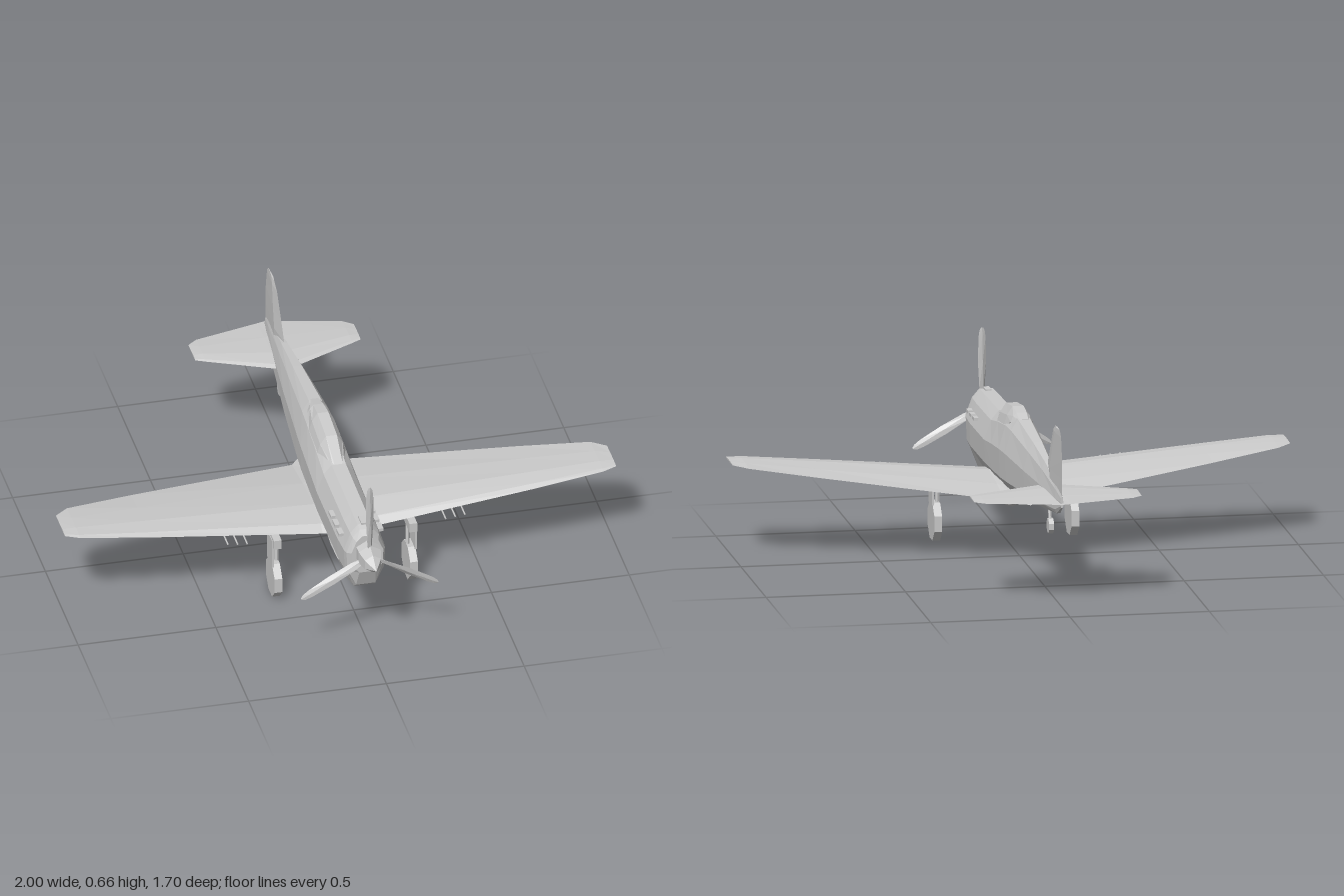
import * as THREE from 'three';

const mat = new THREE.MeshStandardMaterial({ color: 0xcccccc, flatShading: true });

function add(parent, name, geometry, x = 0, y = 0, z = 0) {
  const mesh = new THREE.Mesh(geometry, mat);
  mesh.name = name;
  mesh.position.set(x, y, z);
  parent.add(mesh);
  return mesh;
}

// Skin between rings of points, with both ends closed
function loft(rings) {
  const pos = [];
  const tri = (a, b, c) => pos.push(...a, ...b, ...c);
  const n = rings[0].length;
  const centre = (r) => [0, 1, 2].map((k) => r.reduce((s, p) => s + p[k], 0) / n);
  for (let i = 0; i < rings.length - 1; i++) {
    for (let j = 0; j < n; j++) {
      const k = (j + 1) % n;
      const [a, b, c, d] = [rings[i][j], rings[i][k], rings[i + 1][k], rings[i + 1][j]];
      tri(a, b, c);
      tri(a, c, d);
    }
  }
  const first = rings[0], last = rings[rings.length - 1];
  const c0 = centre(first), c1 = centre(last);
  for (let j = 0; j < n; j++) {
    const k = (j + 1) % n;
    tri(c0, first[k], first[j]);
    tri(c1, last[j], last[k]);
  }
  const g = new THREE.BufferGeometry();
  g.setAttribute('position', new THREE.Float32BufferAttribute(pos, 3));
  g.computeVertexNormals();
  return g;
}

// Mirror a right half outline, listed bottom to top, into a closed ring
const mirrorRing = (half, z) => [
  ...half.map(([x, y]) => [x, y, z]),
  ...half.slice().reverse().map(([x, y]) => [-x, y, z]),
];

// Wing skin from half-span sections [x, leading z, trailing z, y, half thickness]
function airfoil(sections) {
  const all = [...sections.slice(1).reverse().map(([x, ...r]) => [-x, ...r]), ...sections];
  const outline = [[1, -0.1], [0.65, 0.6], [0.3, 1], [0.07, 0.6], [0, 0], [0.07, -0.5], [0.3, -1], [0.65, -0.7]];
  return loft(all.map(([x, le, te, y, t]) =>
    outline.map(([f, h]) => [x, y + h * t, le + (te - le) * f])));
}

function fuselage() {
  // z, bottom, lower edge, top, half width
  const sections = [
    [-0.84, 0.36, 0.365, 0.40, 0.005], [-0.77, 0.325, 0.34, 0.425, 0.014],
    [-0.56, 0.30, 0.322, 0.465, 0.033], [-0.36, 0.28, 0.307, 0.49, 0.051],
    [-0.09, 0.25, 0.292, 0.515, 0.07], [0, 0.24, 0.288, 0.515, 0.075],
    [0.14, 0.21, 0.284, 0.495, 0.078], [0.27, 0.195, 0.28, 0.468, 0.08],
    [0.57, 0.18, 0.275, 0.462, 0.078], [0.66, 0.205, 0.28, 0.46, 0.074],
    [0.685, 0.225, 0.29, 0.453, 0.07], [0.71, 0.29, 0.32, 0.44, 0.058],
  ];
  return loft(sections.map(([z, b, low, top, w]) => mirrorRing([
    [w * 0.5, b], [w * 0.95, low], [w, low + (top - low) * 0.45],
    [w * 0.68, low + (top - low) * 0.82], [w * 0.32, top],
  ], z)));
}

function canopy() {
  // z, sill, top, sill half width, roof half width
  const sections = [
    [-0.1, 0.505, 0.515, 0.022, 0.014], [-0.04, 0.495, 0.528, 0.04, 0.018],
    [0.03, 0.455, 0.536, 0.056, 0.02], [0.16, 0.436, 0.52, 0.058, 0.02],
    [0.27, 0.462, 0.468, 0.026, 0.015],
  ];
  return loft(sections.map(([z, sill, top, w, r]) => mirrorRing([
    [w, sill], [(w * 0.55 + r * 0.45), sill + (top - sill) * 0.62], [r, top],
  ], z)));
}

function fin() {
  // y, front z, back z, half thickness
  const sections = [
    [0.36, -0.6, -0.845, 0.012], [0.465, -0.56, -0.845, 0.013], [0.53, -0.608, -0.843, 0.01],
    [0.61, -0.67, -0.823, 0.006], [0.63, -0.71, -0.8, 0.003],
  ];
  return loft(sections.map(([y, f, b, t]) => [
    [0, y, f], [t, y, f + (b - f) * 0.35], [0, y, b], [-t, y, f + (b - f) * 0.35],
  ]));
}

function blade() {
  // radius, half width, half thickness, twist
  const sections = [
    [0.02, 0.009, 0.007, 0.9], [0.07, 0.015, 0.006, 0.7], [0.16, 0.017, 0.005, 0.4],
    [0.25, 0.014, 0.003, 0.25], [0.275, 0.01, 0.002, 0.2], [0.286, 0.004, 0.001, 0.2],
  ];
  return loft(sections.map(([y, w, t, a]) => [[0, t], [w, 0], [0, -t], [-w, 0]].map(([x, z]) =>
    [x * Math.cos(a) + z * Math.sin(a), y, z * Math.cos(a) - x * Math.sin(a)])));
}

// Turned body along z from [radius, z] points
const turned = (points, sides) => new THREE.LatheGeometry(
  points.map(([r, z]) => new THREE.Vector2(r, z)), sides).rotateX(Math.PI / 2);

const wheel = (r, width) => new THREE.CylinderGeometry(r, r, width, 8).rotateZ(Math.PI / 2).rotateX(Math.PI / 8);

export function createModel() {
  const plane = new THREE.Group();
  plane.name = 'propellerAircraft';

  add(plane, 'fuselage', fuselage());
  add(plane, 'canopy', canopy());
  add(plane, 'wing', airfoil([
    [0, 0.35, -0.22, 0.235, 0.036], [0.075, 0.345, -0.128, 0.235, 0.036],
    [0.7, 0.33, 0.04, 0.301, 0.016], [0.95, 0.318, 0.115, 0.328, 0.007], [1, 0.3, 0.16, 0.332, 0.003],
  ]));
  add(plane, 'tailplane', airfoil([
    [0, -0.52, -0.855, 0.375, 0.011], [0.03, -0.535, -0.847, 0.375, 0.011],
    [0.265, -0.64, -0.79, 0.375, 0.006], [0.3, -0.657, -0.762, 0.375, 0.003],
  ]));
  add(plane, 'fin', fin());

  // Spinner and three blades
  const propeller = new THREE.Group();
  propeller.name = 'propeller';
  propeller.position.set(0, 0.375, 0.745);
  plane.add(propeller);
  add(propeller, 'spinner', turned([[0, -0.06], [0.046, -0.06], [0.046, 0], [0.034, 0.05], [0, 0.103]], 6));
  for (let i = 0; i < 3; i++) add(propeller, 'blade', blade()).rotation.z = (i * Math.PI * 2) / 3;

  // Belly tank
  add(plane, 'bellyTank', turned(
    [[0, -0.205], [0.018, -0.17], [0.034, -0.09], [0.039, 0], [0.037, 0.09], [0.024, 0.16], [0, 0.205]], 8),
    0, 0.165, 0.315);
  add(plane, 'tankMount', new THREE.BoxGeometry(0.025, 0.05, 0.14), 0, 0.205, 0.31);

  // Intake bump on the cowling
  add(plane, 'cowlIntake', new THREE.BoxGeometry(0.022, 0.012, 0.05), 0, 0.46, 0.64);

  for (const s of [-1, 1]) {
    // Main landing gear
    const gear = new THREE.Group();
    gear.name = s > 0 ? 'leftGear' : 'rightGear';
    plane.add(gear);
    add(gear, 'wheel', wheel(0.073, 0.028), s * 0.246, 0.068, 0.32);
    add(gear, 'strut', new THREE.CylinderGeometry(0.008, 0.008, 0.15, 6), s * 0.238, 0.185, 0.32);
    add(gear, 'gearDoor', new THREE.BoxGeometry(0.007, 0.11, 0.075), s * 0.259, 0.185, 0.322);
    add(gear, 'legFairing', new THREE.BoxGeometry(0.028, 0.035, 0.09), s * 0.246, 0.232, 0.332);

    // Wing guns
    for (const x of [0.36, 0.395, 0.43]) {
      add(plane, 'gunBarrel', new THREE.CylinderGeometry(0.003, 0.003, 0.09, 6).rotateX(Math.PI / 2),
        s * x, 0.262 + (x - 0.36) * 0.1, 0.345);
    }

    // Exhaust stubs
    for (const z of [0.475, 0.535, 0.595]) {
      add(plane, 'exhaust', new THREE.BoxGeometry(0.02, 0.011, 0.04), s * 0.071, 0.395, z);
    }
  }

  // Tail wheel
  add(plane, 'tailWheel', wheel(0.028, 0.018), 0, 0.245, -0.61);
  add(plane, 'tailStrut', new THREE.CylinderGeometry(0.006, 0.006, 0.07, 6), 0, 0.277, -0.602).rotation.x = 0.2;

  return plane;
}
